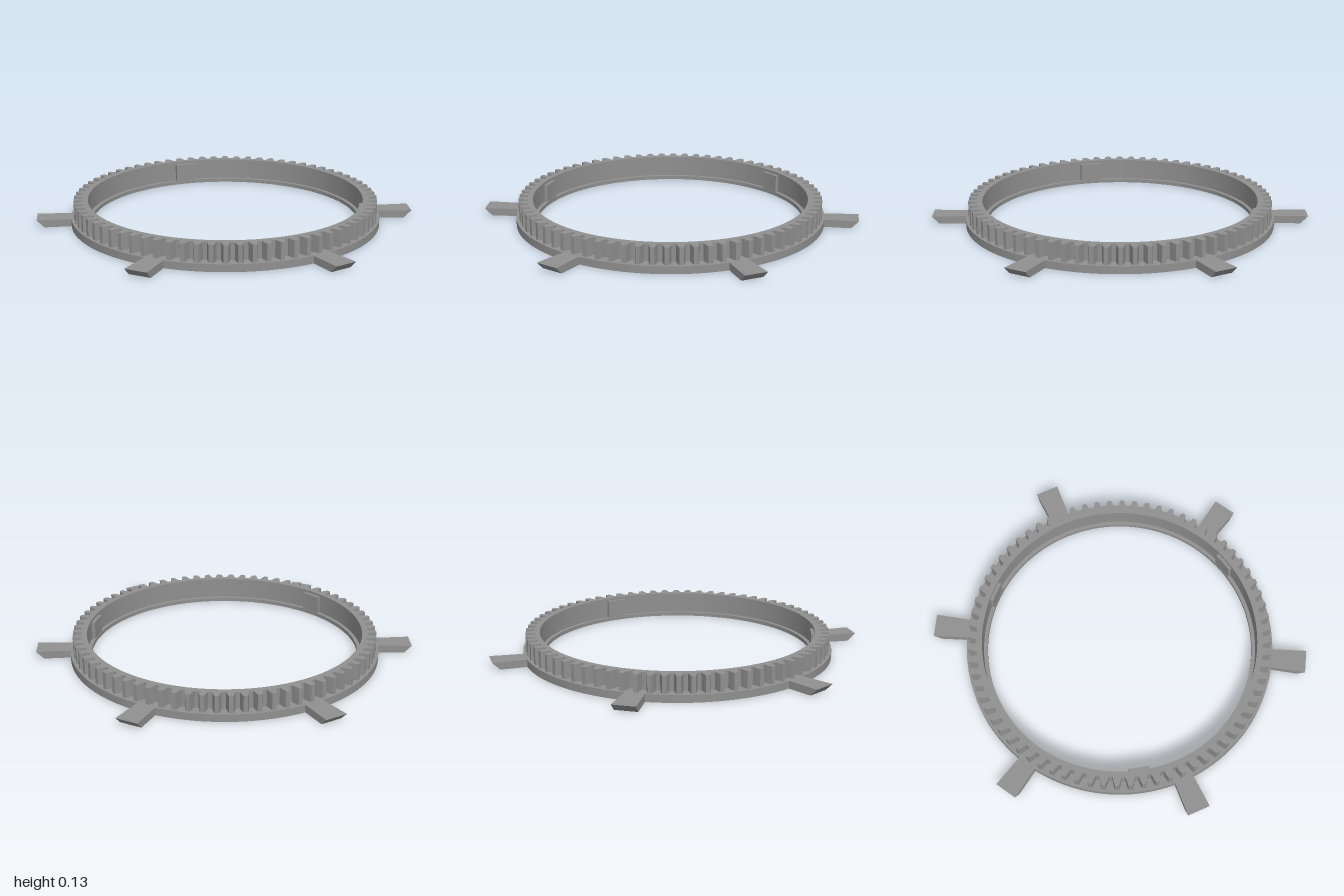
import * as THREE from 'three';
import { toCreasedNormals } from 'three/addons/utils/BufferGeometryUtils.js';

const TEETH = 72;
const ARMS = 6;
const BASE_H = 0.04;
const TOP = 0.13;

// Extrude a plan shape upwards from y0 to y1
function extrudeUp(shape, y0, y1) {
  const geo = new THREE.ExtrudeGeometry(shape, { depth: y1 - y0, bevelEnabled: false, curveSegments: 120 });
  geo.rotateX(-Math.PI / 2);
  geo.translate(0, y0, 0);
  return toCreasedNormals(geo, 0.4);
}

// Flat ring with an inner bottom lip
function baseGeometry() {
  const profile = [
    [0.71, 0], [0.82, 0], [0.82, BASE_H], [0.73, BASE_H], [0.73, 0.02], [0.71, 0.02], [0.71, 0],
  ].map(([r, y]) => new THREE.Vector2(r, y));
  return toCreasedNormals(new THREE.LatheGeometry(profile, 144), 0.4);
}

// Gear outline with trapezoidal teeth and a round bore
function gearGeometry() {
  const pitch = (Math.PI * 2) / TEETH;
  const tooth = [[-0.34, 0.76], [-0.26, 0.783], [-0.15, 0.806], [0.15, 0.806], [0.26, 0.783], [0.34, 0.76]];
  const outline = [];
  for (let i = 0; i < TEETH; i++) {
    for (const [offset, r] of tooth) {
      const a = (i + offset) * pitch;
      outline.push(new THREE.Vector2(Math.cos(a) * r, Math.sin(a) * r));
    }
  }
  const shape = new THREE.Shape(outline);
  shape.holes.push(new THREE.Path().absarc(0, 0, 0.73, 0, Math.PI * 2, true));
  return extrudeUp(shape, BASE_H, TOP);
}

// Arm that widens outwards and has an undercut tip
function armGeometry() {
  const geo = new THREE.BoxGeometry(1, 1, 1);
  const pos = geo.attributes.position;
  for (let i = 0; i < pos.count; i++) {
    const outer = pos.getX(i) > 0;
    const upper = pos.getY(i) > 0;
    pos.setXYZ(
      i,
      outer ? (upper ? 1.0 : 0.96) : 0.79,
      upper ? BASE_H : 0,
      Math.sign(pos.getZ(i)) * (outer ? (upper ? 0.061 : 0.059) : 0.05),
    );
  }
  geo.computeVertexNormals();
  return geo;
}

// Shallow pad on the bore wall
function padGeometry() {
  const half = 0.075;
  const shape = new THREE.Shape();
  shape.absarc(0, 0, 0.735, -half, half, false);
  shape.absarc(0, 0, 0.712, half, -half, true);
  return extrudeUp(shape, 0.01, 0.115);
}

export function createModel() {
  const model = new THREE.Group();
  model.name = 'ringGear';
  const grey = new THREE.MeshStandardMaterial({ color: 0x909090 });
  grey.name = 'grey';

  const add = (name, geo, angle = 0) => {
    const mesh = new THREE.Mesh(geo, grey);
    mesh.name = name;
    mesh.rotation.y = angle;
    model.add(mesh);
  };

  add('baseRing', baseGeometry());
  add('toothedRing', gearGeometry());

  const arm = armGeometry();
  for (let i = 0; i < ARMS; i++) add(`arm${i + 1}`, arm, (i * Math.PI * 2) / ARMS);

  const pad = padGeometry();
  for (let i = 0; i < 3; i++) {
    add(`innerPad${i + 1}`, pad, THREE.MathUtils.degToRad(104 + i * 120));
  }
  return model;
}
